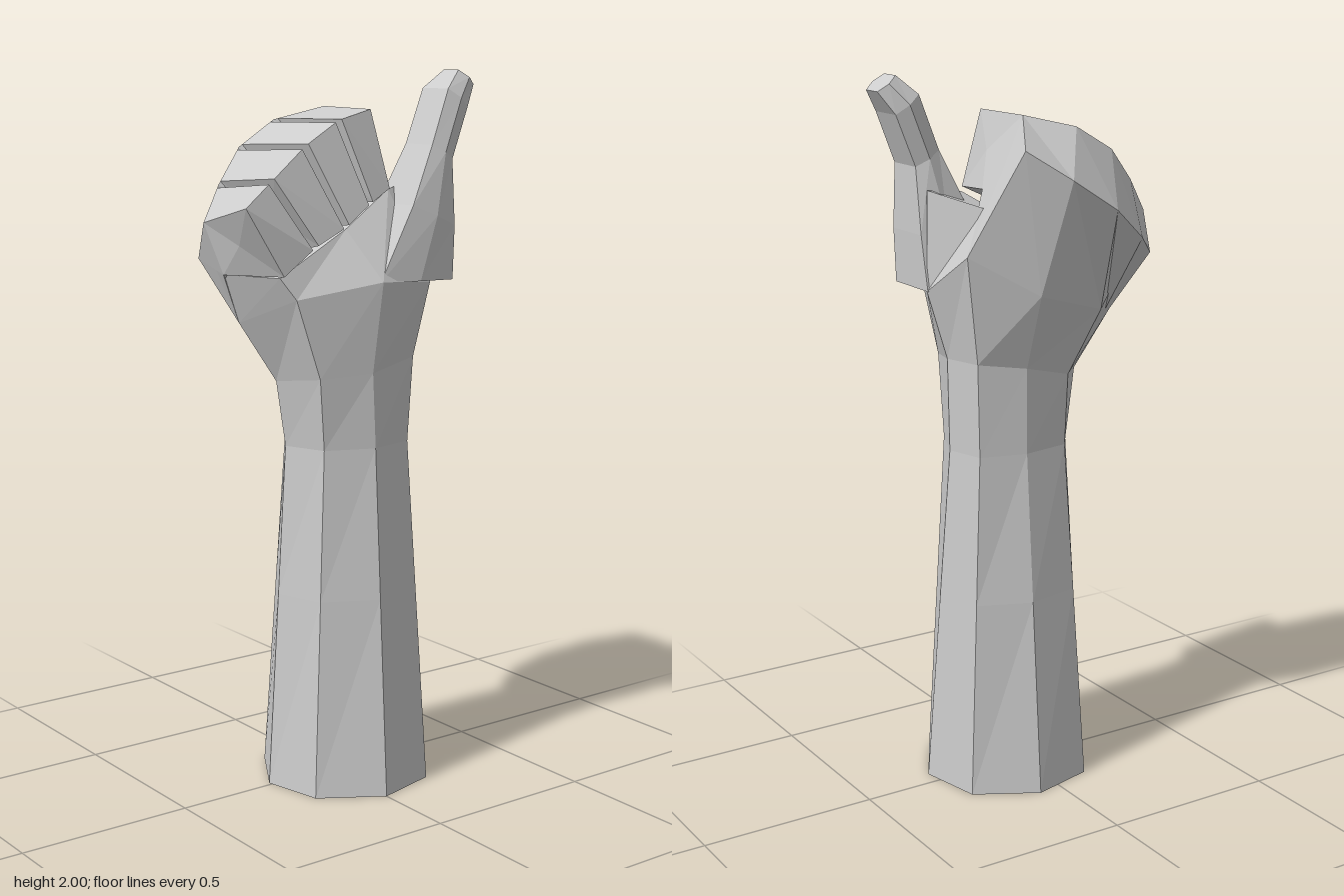
import * as THREE from 'three';

const material = new THREE.MeshStandardMaterial({ color: 0xcccccc, flatShading: true, side: THREE.DoubleSide });
const mix = (a, b, t) => a.map((v, i) => v + (b[i] - v) * t);

// Joins closed cross-sections (counter-clockwise seen from the far end), with optional caps.
function loft(name, rings, capStart = true, capEnd = true) {
  const n = rings[0].length;
  const positions = [];
  const tri = (a, b, c) => positions.push(...a, ...b, ...c);
  for (let r = 0; r < rings.length - 1; r++) {
    for (let i = 0; i < n; i++) {
      const k = (i + 1) % n;
      const [a, b, c, d] = [rings[r][i], rings[r][k], rings[r + 1][k], rings[r + 1][i]];
      tri(a, b, c);
      tri(a, c, d);
    }
  }
  const cap = (ring, flip) => {
    const mid = [0, 1, 2].map((j) => ring.reduce((s, p) => s + p[j], 0) / n);
    ring.forEach((p, i) => {
      const q = ring[(i + 1) % n];
      if (flip) tri(mid, q, p);
      else tri(mid, p, q);
    });
  };
  if (capStart) cap(rings[0], true);
  if (capEnd) cap(rings[rings.length - 1], false);
  const geometry = new THREE.BufferGeometry();
  geometry.setAttribute('position', new THREE.Float32BufferAttribute(positions, 3));
  geometry.computeVertexNormals();
  const mesh = new THREE.Mesh(geometry, material);
  mesh.name = name;
  return mesh;
}

export function createModel() {
  const group = new THREE.Group();
  group.name = 'thumbsUpHand';

  // Forearm: eight-sided, open at the bottom
  const base = [[-0.17, 0, 0.16], [0, 0, 0.265], [0.18, 0, 0.22], [0.28, 0, 0.05],
    [0.24, 0, -0.13], [0.07, 0, -0.225], [-0.11, 0, -0.18], [-0.21, 0, -0.01]];
  const narrow = [[-0.11, 0.98, 0.12], [0.025, 0.98, 0.175], [0.16, 0.98, 0.145], [0.22, 0.98, 0.01],
    [0.19, 0.98, -0.1], [0.06, 0.98, -0.135], [-0.08, 0.98, -0.11], [-0.155, 0.98, 0]];
  const wrist = [[-0.13, 1.18, 0.13], [0.015, 1.19, 0.175], [0.17, 1.22, 0.155], [0.225, 1.24, 0.01],
    [0.195, 1.24, -0.1], [0.06, 1.22, -0.135], [-0.09, 1.18, -0.11], [-0.185, 1.165, 0]];
  group.add(loft('forearm', [base, base.map((p, i) => mix(p, narrow[i], 0.57)), narrow, wrist], false, false));

  // Palm: widens from the wrist and closes underneath the curled fingers
  const heel = [[-0.2, 1.4, 0.12], [0.03, 1.44, 0.2], [0.2, 1.43, 0.19], [0.28, 1.43, 0.02],
    [0.24, 1.54, -0.125], [0.06, 1.43, -0.205], [-0.16, 1.365, -0.165], [-0.285, 1.33, -0.03]];
  const palmTop = [[-0.24, 1.46, 0.1], [-0.03, 1.58, 0.11], [0.13, 1.68, 0.09], [0.27, 1.7, 0.03],
    [0.17, 1.66, -0.1], [0.05, 1.6, -0.15], [-0.15, 1.5, -0.12], [-0.335, 1.465, -0.03]];
  group.add(loft('palm', [wrist, heel, palmTop], false, true));

  // Lines across the fist, from the little finger to the index finger
  const back = [heel[7], mix(heel[7], heel[6], 0.5), heel[6], heel[5], heel[4]];
  const knuckle = [[-0.345, 1.5, -0.135], [-0.26, 1.56, -0.215], [-0.145, 1.65, -0.26], [0, 1.74, -0.265], [0.12, 1.82, -0.22]];
  const top = [[-0.385, 1.605, -0.045], [-0.31, 1.7, -0.085], [-0.21, 1.795, -0.135], [-0.08, 1.865, -0.157], [0.065, 1.9, -0.12]];
  const front = [[-0.35, 1.65, 0.105], [-0.27, 1.715, 0.105], [-0.16, 1.805, 0.105], [-0.05, 1.87, 0.105], [0.06, 1.897, 0.1]];
  const tip = [[-0.24, 1.465, 0.12], [-0.155, 1.54, 0.145], [-0.06, 1.59, 0.155], [0.02, 1.65, 0.157], [0.1, 1.685, 0.135]];
  const inner = [[-0.34, 1.465, -0.02], [-0.2, 1.5, 0], [-0.09, 1.57, 0], [0.02, 1.63, 0], [0.135, 1.7, -0.03]];

  // Back of the hand and knuckles as one continuous band
  group.add(loft('backOfHand', back.map((p, i) => [p, knuckle[i], top[i], inner[i]])));

  // Four curled fingers with narrow gaps between them
  ['littleFinger', 'ringFinger', 'middleFinger', 'indexFinger'].forEach((name, i) => {
    const section = (t) => [top, front, tip, inner].map((line) => mix(line[i], line[i + 1], t));
    group.add(loft(name, [section(i === 0 ? 0 : 0.09), section(i === 3 ? 1 : 0.91)]));
  });

  // Thumb: six-sided sections given by left edge, right edge, front z and back z
  const thumb = [
    [0.03, 1.44, 0.28, 1.43, 0.205, 0],
    [0.14, 1.64, 0.287, 1.58, 0.203, 0.02],
    [0.215, 1.8, 0.287, 1.76, 0.19, 0.045],
    [0.275, 1.95, 0.345, 1.9, 0.183, 0.043],
    [0.33, 2, 0.385, 1.96, 0.16, 0.068],
  ].map(([lx, ly, rx, ry, zf, zb]) => {
    const mx = (lx + rx) / 2, my = (ly + ry) / 2, bevel = 0.015;
    return [[lx, ly, zf - bevel], [mx, my, zf], [rx, ry, zf - bevel],
      [rx, ry, zb + bevel], [mx, my, zb], [lx, ly, zb + bevel]];
  });
  group.add(loft('thumb', thumb));

  return group;
}
